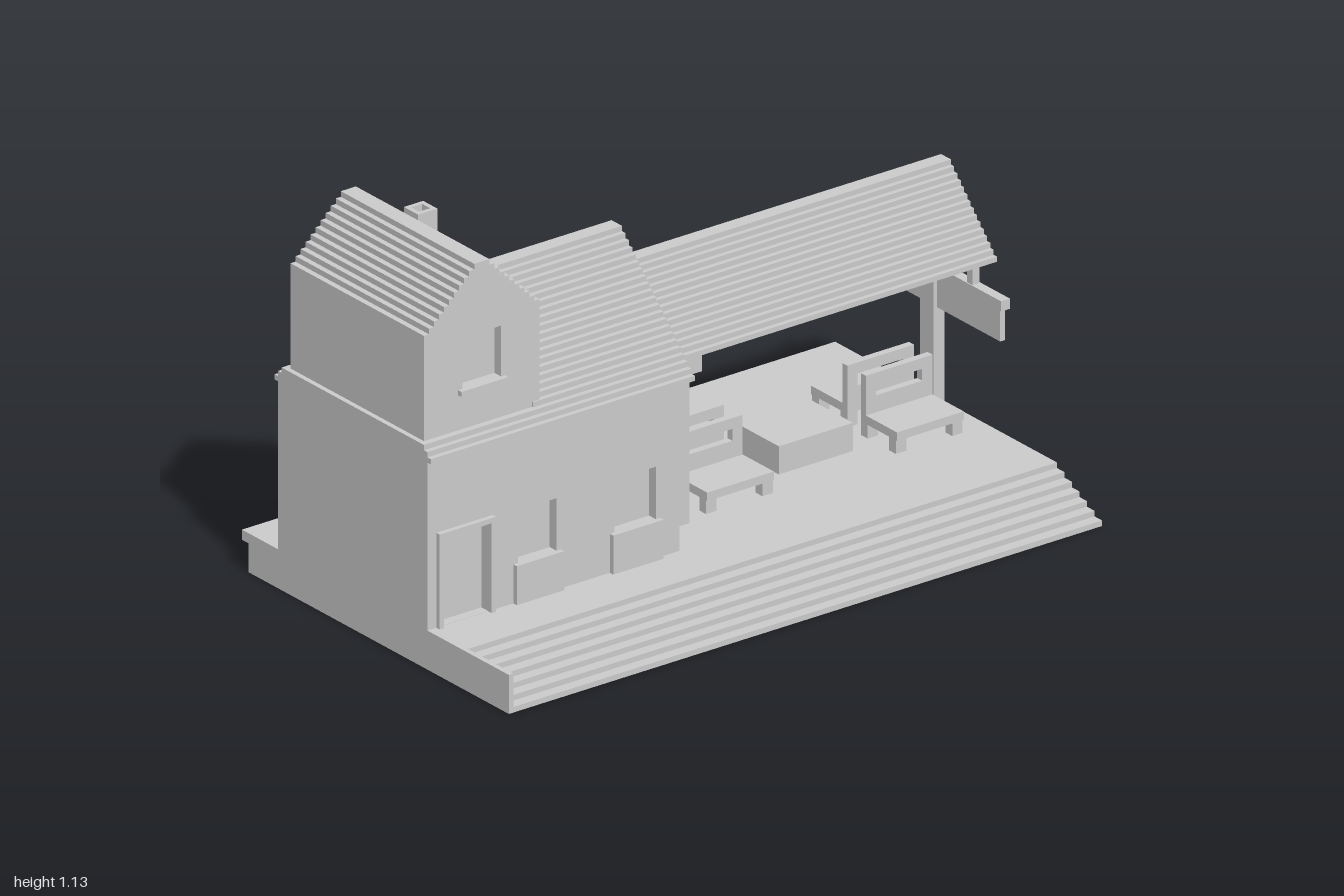
import * as THREE from 'three';

const material = new THREE.MeshStandardMaterial({ color: 0xcccccc, flatShading: true });
const CX = -0.1; // centre line of the buildings
const FLOOR = 0.115; // top of the platform

// Box given by its limits on each axis
function box(parent, name, x0, x1, y0, y1, z0, z1) {
  const mesh = new THREE.Mesh(new THREE.BoxGeometry(x1 - x0, y1 - y0, z1 - z0), material);
  mesh.position.set((x0 + x1) / 2, (y0 + y1) / 2, (z0 + z1) / 2);
  mesh.name = name;
  parent.add(mesh);
  return mesh;
}

function group(parent, name) {
  const g = new THREE.Group();
  g.name = name;
  parent.add(g);
  return g;
}

function rectPath(z0, z1, y0, y1, Type = THREE.Path) {
  return new Type([[z0, y0], [z1, y0], [z1, y1], [z0, y1]].map(p => new THREE.Vector2(...p)));
}

// Wall in the zy plane with openings, between x0 and x1
function sideWall(parent, name, outline, holes, x0, x1) {
  const shape = rectPath(...outline, THREE.Shape);
  holes.forEach(h => shape.holes.push(rectPath(...h)));
  const geo = new THREE.ExtrudeGeometry(shape, { depth: x1 - x0, bevelEnabled: false });
  geo.rotateY(-Math.PI / 2);
  geo.translate(x1, 0, 0);
  const mesh = new THREE.Mesh(geo, material);
  mesh.name = name;
  parent.add(mesh);
}

// Stepped gable as one solid: profile in (across, up), extruded along z
function steppedGable(parent, name, half, y0, y1, steps, z0, z1) {
  const right = [];
  for (let i = 0; i < steps; i++) {
    const w = half * (1 - i / (steps + 0.5));
    right.push([w, y0 + (y1 - y0) * i / steps], [w, y0 + (y1 - y0) * (i + 1) / steps]);
  }
  const left = right.map(([w, y]) => [-w, y]).reverse();
  const shape = new THREE.Shape([...right, ...left].map(p => new THREE.Vector2(...p)));
  const geo = new THREE.ExtrudeGeometry(shape, { depth: z1 - z0, bevelEnabled: false });
  geo.translate(0, 0, z0);
  const mesh = new THREE.Mesh(geo, material);
  mesh.name = name;
  parent.add(mesh);
  return mesh;
}

function buildPlatform(root) {
  const g = group(root, 'platform');
  box(g, 'platformBase', -0.56, 0.39, 0, FLOOR, -1, 1);
  box(g, 'platformLip', -0.59, -0.56, 0.085, FLOOR, -1, 1);
  for (let k = 1; k <= 6; k++) {
    const x = 0.39 + 0.0333 * k;
    box(g, 'step', x - 0.0333, x, 0, FLOOR * (7 - k) / 7, -1, 0.985);
  }
  box(g, 'stepEndPlate', 0.39, 0.59, 0, FLOOR, 0.985, 1);
}

// One long wall, drawn on +x around the centre line, then mirrored
function buildLongWall(parent, side) {
  const g = group(parent, 'longWall');
  const x = 0.33;
  const door = [0.795, 0.955, FLOOR, 0.38];
  const windows = [[0.565, 0.695], [0.23, 0.37]];
  sideWall(g, 'wall', [0.15, 1, FLOOR, 0.61],
    [[0.795, 0.955, FLOOR + 0.001, 0.38], ...windows.map(w => [...w, 0.23, 0.385])], x - 0.03, x);
  box(g, 'doorJamb', x, x + 0.015, FLOOR, 0.395, 0.78, door[0]);
  box(g, 'doorJamb', x, x + 0.015, FLOOR, 0.395, door[1], 0.97);
  box(g, 'doorLintel', x, x + 0.015, 0.38, 0.395, door[0], door[1]);
  windows.forEach(([a, b]) => box(g, 'windowApron', x, x + 0.015, FLOOR, 0.23, a - 0.015, b + 0.015));
  if (side < 0) g.scale.x = -1;
}

function buildHouse(root) {
  const g = group(root, 'house');
  g.position.x = CX;
  box(g, 'houseCore', -0.3, 0.3, FLOOR, 0.61, 0.15, 1);
  [1, -1].forEach(side => buildLongWall(g, side));

  // Main roof and the eaves that continue to the front
  steppedGable(g, 'mainRoof', 0.345, 0.61, 0.95, 22, 0.11, 0.62);
  for (let i = 0; i < 3; i++) {
    const w = 0.345 * (1 - i / 22.5);
    box(g, 'eave', -w, w, 0.61 + 0.0155 * i, 0.61 + 0.0155 * (i + 1), 0.62, 1);
  }

  // Upper storey with a window recess at each end
  const upper = group(g, 'upperStorey');
  box(upper, 'upperCore', -0.265, 0.265, 0.655, 0.95, 0.595, 0.985);
  [1, -1].forEach(side => {
    const end = group(upper, 'upperEnd');
    sideWall(end, 'upperWall', [0.595, 0.985, 0.655, 0.95], [[0.725, 0.855, 0.775, 0.925]], 0.265, 0.295);
    box(end, 'windowSill', 0.28, 0.31, 0.76, 0.775, 0.712, 0.87);
    end.scale.x = side;
  });
  const roof = steppedGable(upper, 'upperRoof', 0.195, 0.95, 1.132, 11, -0.295, 0.295);
  roof.rotation.y = Math.PI / 2;
  roof.position.z = 0.79;

  // Square hollow chimney
  const stack = rectPath(-0.115, -0.052, -0.74, -0.675, THREE.Shape);
  stack.holes.push(rectPath(-0.101, -0.066, -0.726, -0.689));
  const geo = new THREE.ExtrudeGeometry(stack, { depth: 0.13, bevelEnabled: false });
  geo.rotateX(-Math.PI / 2);
  const chimney = new THREE.Mesh(geo, material);
  chimney.position.y = 1.0;
  chimney.name = 'chimney';
  upper.add(chimney);
}

function buildCanopy(root) {
  const g = group(root, 'canopy');
  g.position.x = CX;
  steppedGable(g, 'canopyRoof', 0.225, 0.61, 0.838, 15, -1, 0.15);
  box(g, 'crossBeam', -0.22, 0.22, 0.56, 0.61, -0.01, 0.115);
  box(g, 'ridgeBeam', -0.03, 0.03, 0.56, 0.61, -0.94, -0.01);
  [-0.17, 0.17].forEach(x => box(g, 'frontPost', x - 0.034, x + 0.034, FLOOR, 0.56, 0.02, 0.086));
  box(g, 'backPost', -0.03, 0.03, FLOOR, 0.61, -0.972, -0.935);

  // Hanging board below the far gable
  const sign = group(g, 'hangingBoard');
  box(sign, 'boardRail', -0.318, 0.322, 0.515, 0.545, -0.97, -0.94);
  box(sign, 'boardPanel', -0.305, 0.309, 0.42, 0.515, -0.963, -0.947);
  [-0.18, 0.18].forEach(x => box(sign, 'boardHanger', x - 0.012, x + 0.012, 0.545, 0.61, -0.967, -0.943));
}

// Bench facing +x, 0.225 long, with a slotted back
function buildBench(parent, z0, side) {
  const g = group(parent, 'bench');
  const z1 = z0 + 0.225;
  box(g, 'seat', 0.03, 0.19, 0.155, 0.18, z0, z1);
  [z0, z1 - 0.035].forEach(z => {
    box(g, 'backLeg', 0.03, 0.06, FLOOR, 0.155, z, z + 0.035);
    box(g, 'frontLeg', 0.155, 0.185, FLOOR, 0.155, z, z + 0.035);
    box(g, 'backStile', 0.03, 0.052, 0.18, 0.297, z, z + 0.035);
  });
  box(g, 'backPanel', 0.03, 0.052, 0.18, 0.23, z0 + 0.035, z1 - 0.035);
  box(g, 'backTopRail', 0.03, 0.052, 0.265, 0.297, z0 + 0.035, z1 - 0.035);
  g.scale.x = side;
}

function buildFurniture(root) {
  const g = group(root, 'furniture');
  g.position.x = CX;
  [-0.275, -0.915].forEach(z => [1, -1].forEach(side => buildBench(g, z, side)));
  box(g, 'centreBlock', -0.1, 0.1, FLOOR, 0.198, -0.61, -0.36);
}

export function createModel() {
  const root = new THREE.Group();
  root.name = 'stationBuilding';
  buildPlatform(root);
  buildHouse(root);
  buildCanopy(root);
  buildFurniture(root);
  return root;
}
